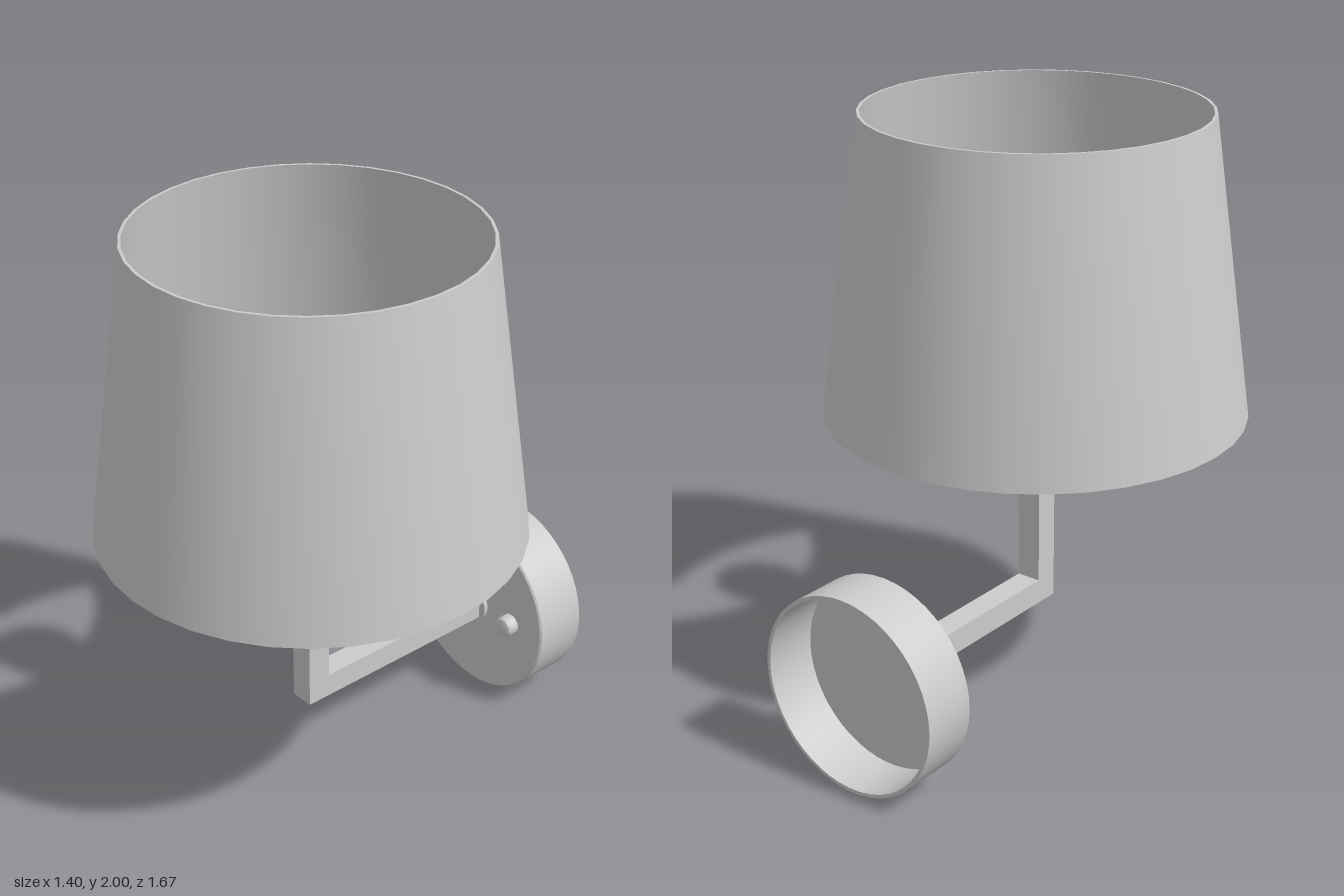
import * as THREE from 'three';
import { toCreasedNormals } from 'three/addons/utils/BufferGeometryUtils.js';

const material = new THREE.MeshStandardMaterial({ color: 0xcccccc, side: THREE.DoubleSide });
const CX = -0.01;   // axis of the arm and wall plate
const CZ = 0.13;    // axis of the shade and lamp holder
const ARM_Y = 0.34;
const PLATE_Z = -0.64;

// Turned part from [radius, height] points, with crisp edges
function turned(name, points, segments = 32) {
  const profile = points.map(([r, h]) => new THREE.Vector2(r, h));
  const geometry = toCreasedNormals(new THREE.LatheGeometry(profile, segments), 0.6);
  const mesh = new THREE.Mesh(geometry, material);
  mesh.name = name;
  return mesh;
}

// Turned part whose axis points forward from the wall
function forward(name, points, x, z, segments) {
  const mesh = turned(name, points, segments);
  mesh.rotation.x = Math.PI / 2;
  mesh.position.set(x, ARM_Y, z);
  return mesh;
}

export function createModel() {
  const lamp = new THREE.Group();
  lamp.name = 'wallLamp';

  // Tapered shade, open at both ends, with a thin wall
  const shade = turned('shade', [
    [0.692, 1.0], [0.702, 1.0], [0.563, 2.0], [0.553, 2.0], [0.692, 1.0],
  ], 36);
  shade.position.set(-0.002, 0, CZ);
  lamp.add(shade);

  // Square L-shaped arm with a mitred corner
  const t = 0.0425;
  const outline = new THREE.Shape([
    [-0.625, ARM_Y - t], [CZ + t, ARM_Y - t], [CZ + t, 1.0],
    [CZ - t, 1.0], [CZ - t, ARM_Y + t], [-0.625, ARM_Y + t],
  ].map(([z, y]) => new THREE.Vector2(z, y)));
  const armGeometry = new THREE.ExtrudeGeometry(outline, { depth: 2 * t, bevelEnabled: false });
  armGeometry.rotateY(-Math.PI / 2);
  armGeometry.translate(CX + t, 0, 0);
  const arm = new THREE.Mesh(armGeometry, material);
  arm.name = 'arm';
  lamp.add(arm);

  // Lamp holder with a rounded lower edge
  const holder = turned('lampHolder', [
    [0, 0.985], [0.085, 0.985], [0.1, 0.99], [0.109, 1.005], [0.11, 1.03], [0.11, 1.38], [0, 1.38],
  ], 24);
  holder.position.set(CX, 0, CZ);
  lamp.add(holder);

  // Round bulb
  const bulb = new THREE.Mesh(new THREE.SphereGeometry(0.15, 20, 14), material);
  bulb.name = 'bulb';
  bulb.position.set(CX, 1.47, CZ);
  lamp.add(bulb);

  // Wall plate: a shallow cup, open toward the wall
  lamp.add(forward('wallPlate', [
    [0, -0.012], [0.325, -0.012], [0.325, -0.195], [0.337, -0.195],
    [0.337, -0.006], [0.331, 0], [0, 0],
  ], CX, PLATE_Z, 48));

  // Collar where the arm meets the plate
  lamp.add(forward('armCollar', [[0, 0], [0.07, 0], [0.07, 0.015], [0, 0.015]], CX, PLATE_Z, 24));

  // Pair of domed fixing knobs
  for (const side of [-1, 1]) {
    lamp.add(forward('fixingKnob', [
      [0.038, 0], [0.038, 0.034], [0.033, 0.042], [0.02, 0.047], [0, 0.049],
    ], CX + side * 0.187, PLATE_Z, 20));
  }
  return lamp;
}
